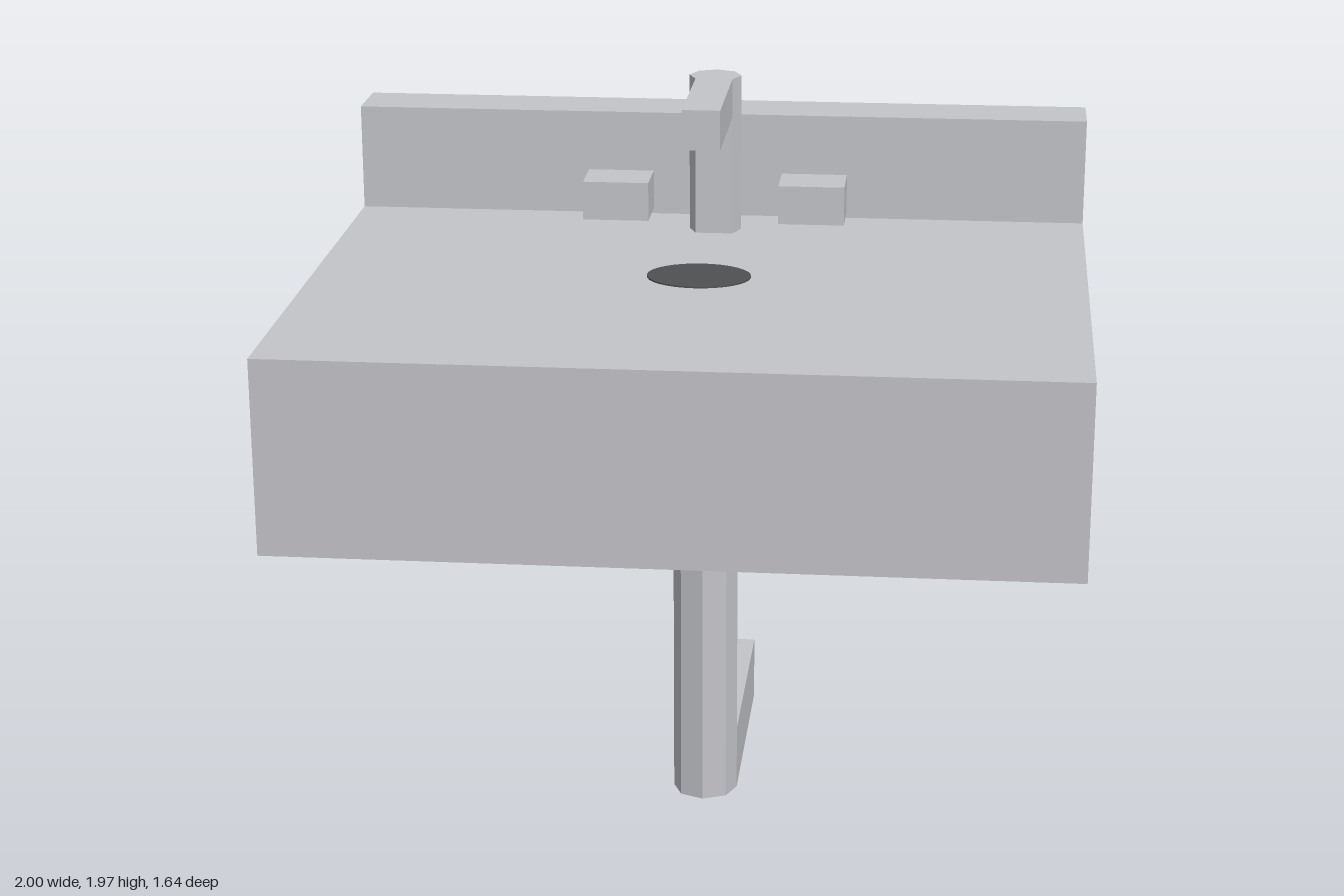
import * as THREE from 'three';

export function createModel() {
  const group = new THREE.Group();
  const grey = new THREE.MeshStandardMaterial({ color: 0xc4c5c9 });
  grey.name = 'ceramicGrey';
  const dark = new THREE.MeshStandardMaterial({ color: 0x505152 });
  dark.name = 'drainDark';

  const add = (name, geometry, material = grey) => {
    const mesh = new THREE.Mesh(geometry, material);
    mesh.name = name;
    group.add(mesh);
    return mesh;
  };

  // Box given by its lower and upper limits on each axis
  const box = (name, [x0, x1], [y0, y1], [z0, z1]) =>
    add(name, new THREE.BoxGeometry(x1 - x0, y1 - y0, z1 - z0))
      .position.set((x0 + x1) / 2, (y0 + y1) / 2, (z0 + z1) / 2);

  // Upright eight-sided prism; flatFront leaves out the corner facing +z
  const prism = (name, radius, z, y0, y1, flatFront) => {
    const points = [];
    for (let i = 0; i < 8; i++) {
      if (flatFront && i === 6) continue;
      const a = (i * Math.PI) / 4;
      points.push(new THREE.Vector2(radius * Math.cos(a), radius * Math.sin(a)));
    }
    const geometry = new THREE.ExtrudeGeometry(new THREE.Shape(points), { depth: y1 - y0, bevelEnabled: false });
    geometry.rotateX(-Math.PI / 2);
    add(name, geometry).position.set(0, y0, z);
  };

  // Basin block and raised back edge from one side profile
  const profile = new THREE.Shape([
    [0.82, 1.04], [0.82, 1.54], [-0.61, 1.54], [-0.61, 1.825], [-0.785, 1.825], [-0.785, 1.04],
  ].map(([z, y]) => new THREE.Vector2(z, y)));
  const basin = new THREE.ExtrudeGeometry(profile, { depth: 2, bevelEnabled: false });
  basin.rotateY(-Math.PI / 2).translate(1, 0, 0);
  add('basin', basin);

  // Drain, a thin oval on the top
  const drain = add('drain', new THREE.CylinderGeometry(1, 1, 0.004, 32), dark);
  drain.scale.set(0.135, 1, 0.11);
  drain.position.set(0, 1.542, 0.015);

  // Tap
  prism('tapPost', 0.07, -0.465, 1.54, 1.965, true);
  box('tapSpout', [-0.0495, 0.0495], [1.86, 1.965], [-0.4155, -0.04]);
  for (const [name, side] of [['leftHandle', 1], ['rightHandle', -1]]) {
    const x = 0.265 * side;
    box(name, [x - 0.089, x + 0.089], [1.575, 1.68], [-0.535, -0.395]);
  }

  // Waste pipe and its arm to the wall
  prism('wastePipe', 0.088, -0.18, 0, 1.04, false);
  box('wasteArm', [-0.088, 0.088], [0, 0.18], [-0.82, -0.18]);

  return group;
}
